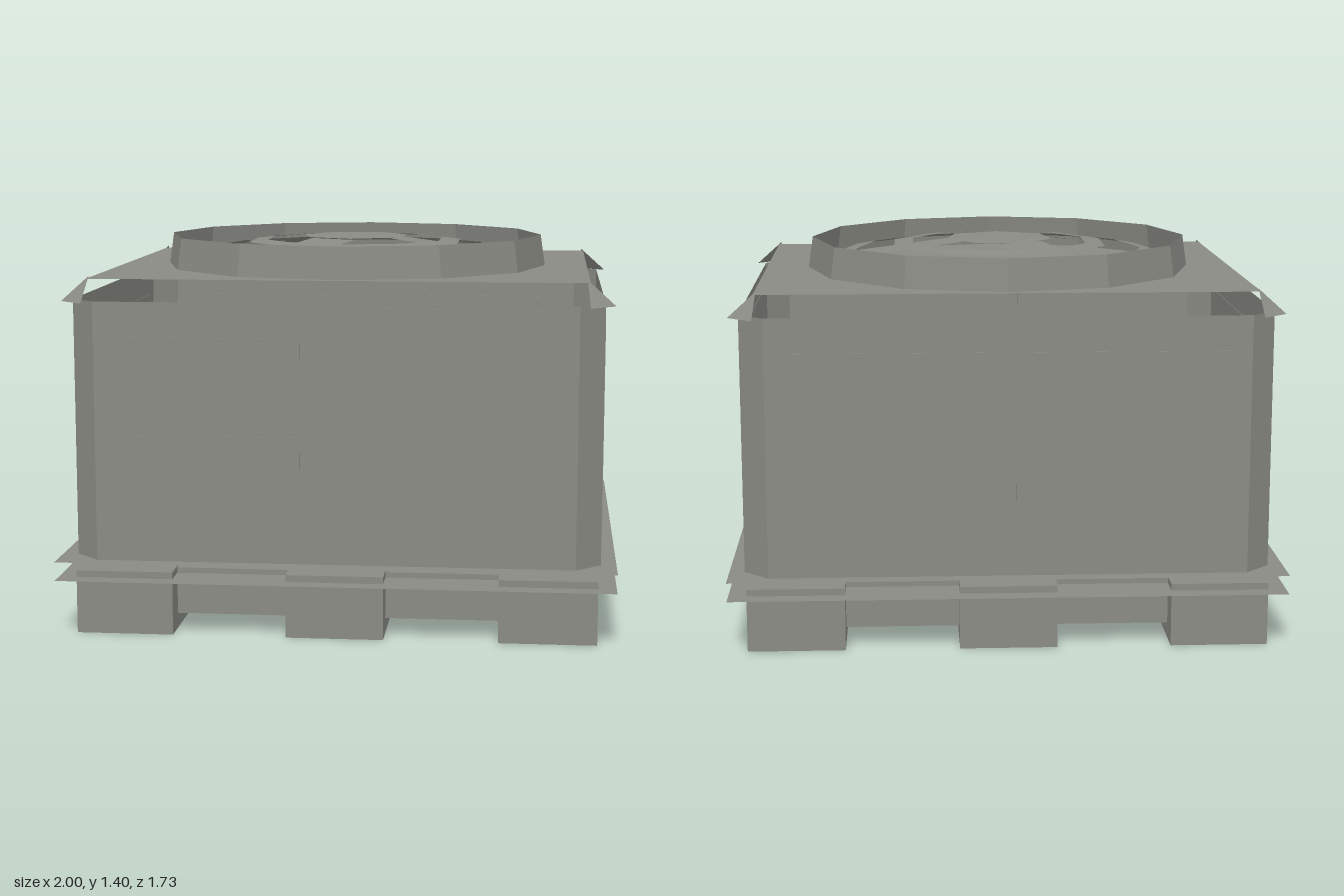
import * as THREE from 'three';

export function createModel() {
  const model = new THREE.Group();
  const grey = new THREE.MeshStandardMaterial({ color: 0x8b8b85, side: THREE.DoubleSide, flatShading: true });
  grey.name = 'weathered grey';

  function add(name, geometry, x = 0, y = 0, z = 0, parent = model) {
    const mesh = new THREE.Mesh(geometry, grey);
    mesh.name = name;
    mesh.position.set(x, y, z);
    parent.add(mesh);
    return mesh;
  }
  function sheet(name, w, d, y) {
    return add(name, new THREE.PlaneGeometry(w, d).rotateX(-Math.PI / 2), 0, y, 0);
  }
  // Conical band between two radius/height pairs, with a corner on +x
  function band(name, r0, y0, r1, y1, sides = 12) {
    const points = [new THREE.Vector2(r0, y0), new THREE.Vector2(r1, y1)];
    return add(name, new THREE.LatheGeometry(points, sides));
  }

  // Pallet: three runners joined by a recessed deck
  for (const x of [-0.76, 0, 0.76]) add('palletRunner', new THREE.BoxGeometry(0.35, 0.23, 1.6), x, 0.115, 0);
  for (const x of [-0.38, 0.38]) add('palletDeck', new THREE.BoxGeometry(0.41, 0.17, 1.4), x, 0.14, 0);

  // Overhanging base sheets
  sheet('lowerBaseSheet', 2, 1.73, 0.205);
  sheet('upperBaseSheet', 2, 1.73, 0.273);

  // Open-topped cabinet walls with cut corners
  const W = 0.945, D = 0.81, cut = 0.09;
  const outline = [
    [-W + cut, D], [W - cut, D], [W, D - cut], [W, -D + cut],
    [W - cut, -D], [-W + cut, -D], [-W, -D + cut], [-W, D - cut],
  ];
  outline.forEach(([x0, z0], i) => {
    const [x1, z1] = outline[(i + 1) % outline.length];
    const wall = add(i % 2 ? 'cabinetCorner' : 'cabinetWall',
      new THREE.PlaneGeometry(Math.hypot(x1 - x0, z1 - z0), 0.935), (x0 + x1) / 2, 0.7375, (z0 + z1) / 2);
    wall.rotation.y = Math.atan2(z0 - z1, x1 - x0);
  });

  // Thin access panels: side angle, wall distance, then u and y ranges on that wall
  const panels = [
    ['frontUpperPanel', 0, D, -0.785, -0.12, 0.765, 1.08],
    ['frontLowerPanel', 0, D, -0.785, -0.12, 0.41, 0.73],
    ['frontDoor', 0, D, 0.035, 0.85, 0.3, 1.19],
    ['leftSidePanel', Math.PI / 2, W, -0.69, 0.69, 0.38, 1.12],
    ['backPanel', Math.PI, D, -0.81, -0.035, 0.38, 1.08],
    ['backPanel', Math.PI, D, 0.025, 0.8, 0.38, 1.08],
    ['rightSideUpperPanel', -Math.PI / 2, W, -0.64, 0.68, 0.74, 1.09],
    ['rightSideLowerPanel', -Math.PI / 2, W, -0.64, 0.68, 0.34, 0.69],
  ];
  for (const [name, angle, dist, u0, u1, y0, y1] of panels) {
    const side = new THREE.Group();
    side.name = name + 'Side';
    side.rotation.y = angle;
    model.add(side);
    add(name, new THREE.BoxGeometry(u1 - u0, y1 - y0, 0.004), (u0 + u1) / 2, (y0 + y1) / 2, dist, side);
  }

  // Raised lid sheet and its corner tabs
  sheet('lid', 1.78, 1.51, 1.28);
  for (const sx of [-1, 1]) for (const sz of [-1, 1]) {
    const corners = [
      [0.98 * sx, 1.2, 0.755 * sz], [0.89 * sx, 1.2, 0.84 * sz], [0.88 * sx, 1.29, 0.745 * sz],
    ];
    if (sx * sz > 0) corners.reverse();
    // wind each tab so it faces outward
    corners.reverse();
    const tab = new THREE.BufferGeometry();
    tab.setAttribute('position', new THREE.Float32BufferAttribute(corners.flat(), 3));
    const a = new THREE.Vector3(...corners[0]), b = new THREE.Vector3(...corners[1]), c = new THREE.Vector3(...corners[2]);
    const normal = b.clone().sub(a).cross(c.clone().sub(a));
    if (normal.x * sx < 0) tab.setIndex([0, 2, 1]);
    else tab.setIndex([0, 1, 2]);
    tab.computeVertexNormals();
    add('cornerTab', tab);
  }

  // Fan shroud, stepped guard rings and hub
  band('fanShroud', 0.73, 1.28, 0.713, 1.397);
  band('outerGuardRing', 0.64, 1.33, 0.55, 1.348);
  band('innerGuardRing', 0.42, 1.37, 0.345, 1.378, 10);
  band('fanHub', 0.21, 1.39, 0, 1.393, 7);

  // Three sloping spokes under the guard
  for (let i = 0; i < 3; i++) {
    const spoke = new THREE.Group();
    spoke.name = 'fanSpoke';
    spoke.rotation.y = (i * Math.PI * 2) / 3;
    model.add(spoke);
    const strip = add('spokeStrip', new THREE.PlaneGeometry(0.44, 0.2).rotateX(-Math.PI / 2), 0.365, 1.355, 0, spoke);
    strip.rotation.z = -0.13;
  }
  return model;
}
